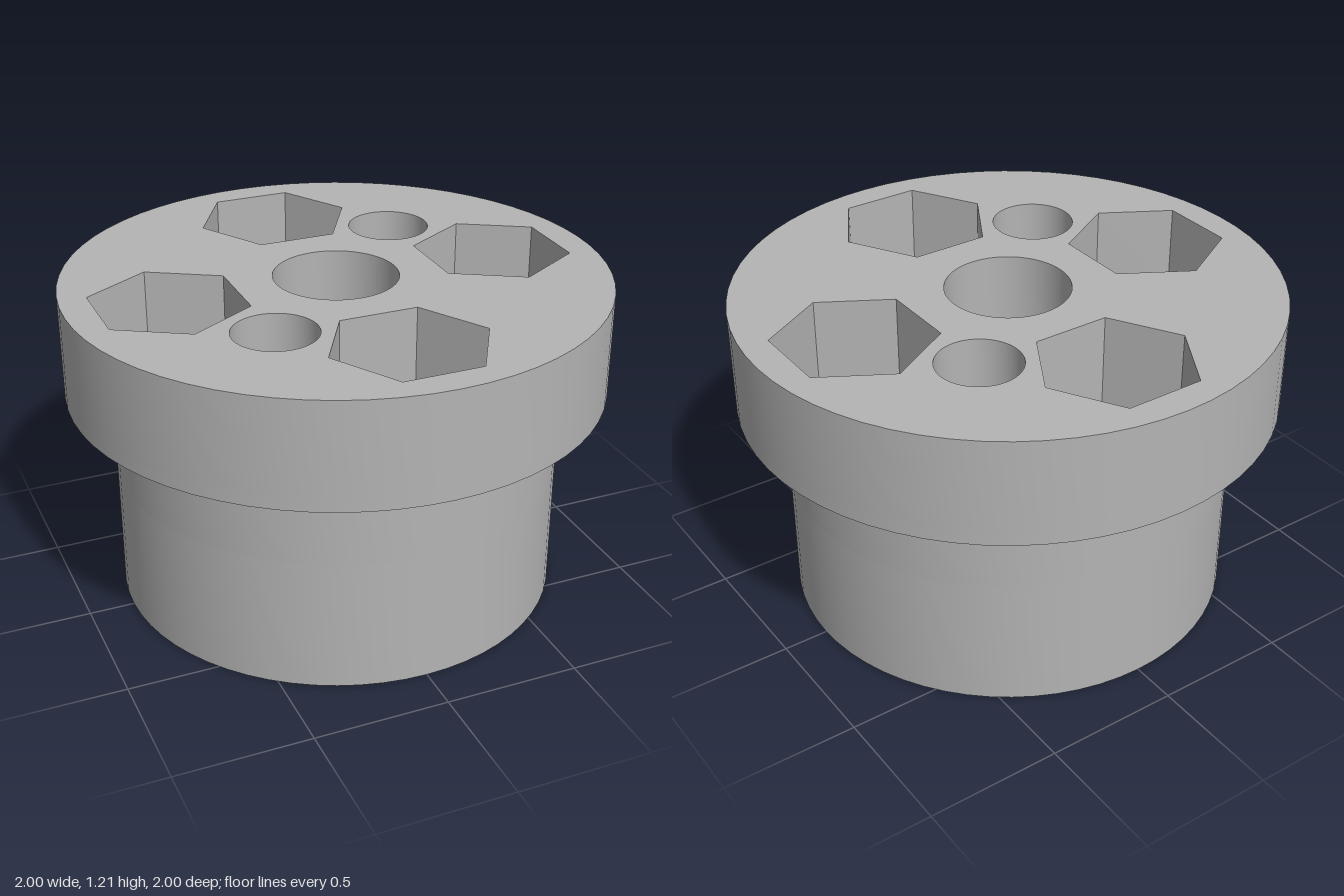
import * as THREE from 'three';
import { toCreasedNormals } from 'three/addons/utils/BufferGeometryUtils.js';

const RAD = Math.PI / 180;
const polar = (r, deg, cx = 0, cy = 0) =>
  new THREE.Vector2(cx + r * Math.cos(deg * RAD), cy + r * Math.sin(deg * RAD));

const BOLT_R = 0.153;    // bolt hole radius
const NUT_R = 0.292;     // hexagon corner radius
const OUTER = 0.632;     // bolt circle of the upper nut pockets
const INNER = 0.537;     // bolt circle of the lower nut pockets
const BORE_R = 0.302;    // lower centre bore
const FOUR = [0, 90, 180, 270];
const TWO = [45, 225];

function circle(r, c = new THREE.Vector2()) {
  return new THREE.Path().absarc(c.x, c.y, r, 0, Math.PI * 2, false);
}

// polygon around a point on a bolt circle; corners are angles relative to its direction
function pocket(a, dist, r, corners) {
  const c = polar(dist, a);
  return new THREE.Path(corners.map(k => polar(r, a + k, c.x, c.y)));
}

const HEX = [30, 90, 150, 210, 270, 330];
const SLOT = [-90, -30, 90, 150];
const SQUARE = [-15, 75, 165, 255];
const bolts = (angles, dist) => angles.map(a => circle(BOLT_R, polar(dist, a)));

// lower centre bore that breaks into two hexagonal nut pockets
function boreWithNuts() {
  const phi = Math.acos((INNER - NUT_R * Math.cos(30 * RAD)) / BORE_R) / RAD;
  const pts = [];
  for (const a of TWO) {
    const c = polar(INNER, a);
    pts.push(polar(BORE_R, a - phi));
    for (const k of [210, 270, 330, 390, 450, 510]) pts.push(polar(NUT_R, a + k, c.x, c.y));
    const n = 28;
    for (let i = 0; i < n; i++) pts.push(polar(BORE_R, a + phi + (180 - 2 * phi) * i / n));
  }
  return new THREE.Path(pts);
}

// one horizontal slice of the hub, from y0 to y1
function slice(name, radius, y0, y1, holes, material) {
  const shape = new THREE.Shape().absarc(0, 0, radius, 0, Math.PI * 2, false);
  shape.holes.push(...holes);
  const geo = new THREE.ExtrudeGeometry(shape, { depth: y1 - y0, bevelEnabled: false, curveSegments: 32 });
  geo.rotateX(-Math.PI / 2);
  geo.translate(0, y0, 0);
  const mesh = new THREE.Mesh(toCreasedNormals(geo, 0.5), material);
  mesh.name = name;
  return mesh;
}

export function createModel() {
  const group = new THREE.Group();
  group.name = 'flangedHub';
  const grey = new THREE.MeshStandardMaterial({ color: 0xb4b4b4 });
  grey.name = 'grey';

  const outerBolts = bolts(FOUR, OUTER);
  const innerBolts = bolts(TWO, INNER);
  const axle = circle(0.103);
  const recess = corners => FOUR.map(a =>
    pocket(a, OUTER, corners === SQUARE ? BOLT_R * Math.SQRT2 * 0.97 : NUT_R, corners));

  group.add(
    // body with the lower bore and nut pockets
    slice('lowerBody', 0.83, 0, 0.5, [boreWithNuts(), ...outerBolts], grey),
    // solid web pierced by the axle and bolt holes
    slice('upperBody', 0.83, 0.5, 0.79, [axle, ...outerBolts, ...innerBolts], grey),
    // thin step under the flange
    slice('flangeStep', 0.92, 0.785, 0.81, [axle, ...outerBolts, ...innerBolts], grey),
    // pocket floors: square, then slot
    slice('squareSeats', 1, 0.81, 0.83, [axle, ...recess(SQUARE), ...innerBolts], grey),
    slice('slotSeats', 1, 0.83, 0.85, [axle, ...recess(SLOT), ...innerBolts], grey),
    // flange with hexagonal nut pockets and the upper centre bore
    slice('flange', 1, 0.85, 1.21, [circle(0.23), ...recess(HEX), ...innerBolts], grey),
  );
  return group;
}
